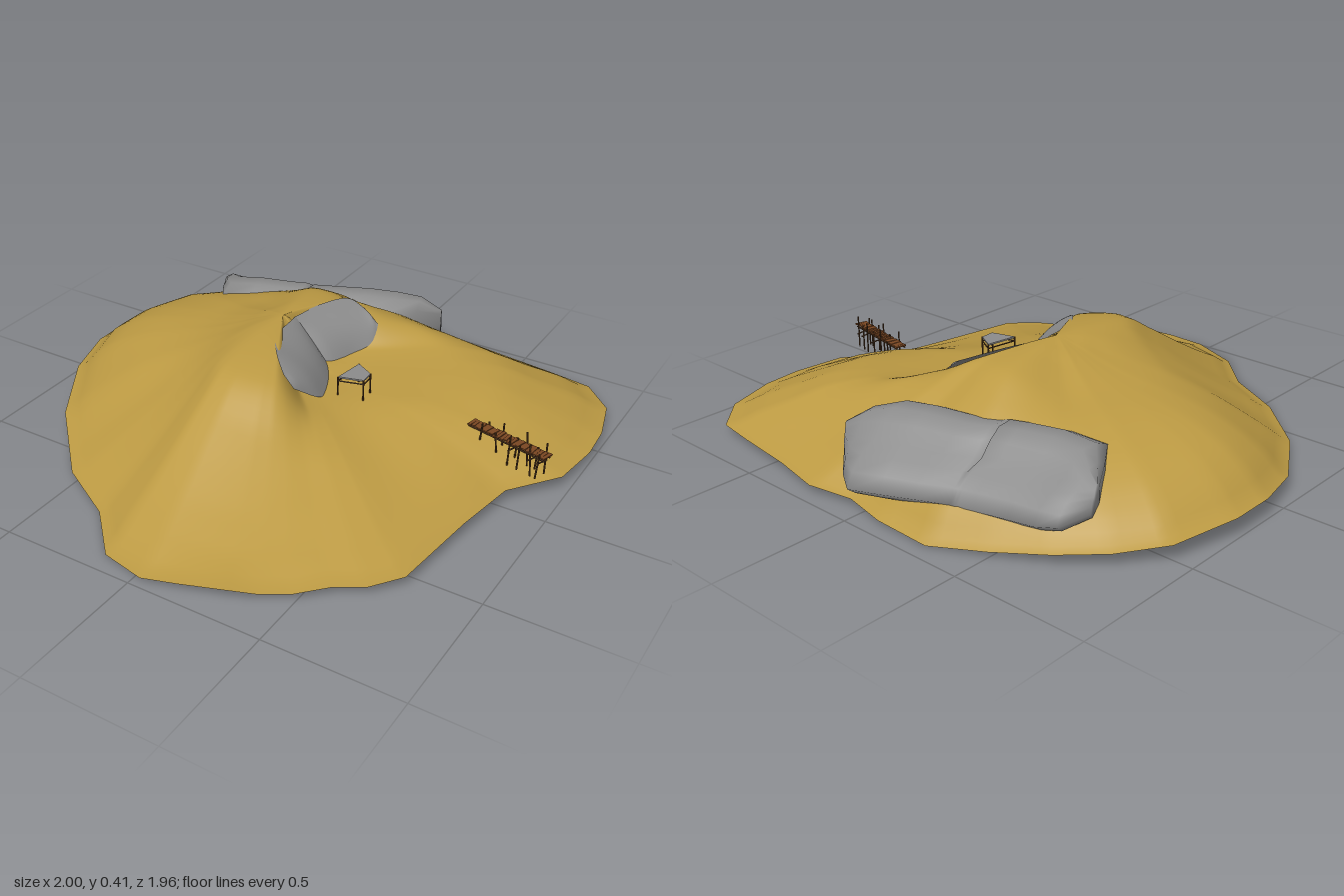
import * as THREE from 'three';

const V = (x, y, z) => new THREE.Vector3(x, y, z);
const mat = (name, color, side = THREE.FrontSide) => {
  const m = new THREE.MeshStandardMaterial({ color, side });
  m.name = name;
  return m;
};

// Shoreline as x, z, y
const SHORE = [
  [0.03, 0.975, 0.02], [-0.15, 0.925, 0.005], [-0.31, 0.76, 0.012], [-0.54, 0.63, 0.015], [-0.79, 0.37, 0.045],
  [-0.95, 0.1, 0.065], [-1, -0.1, 0.08], [-1, -0.27, 0.08], [-0.94, -0.52, 0.07], [-0.82, -0.66, 0.055],
  [-0.68, -0.77, 0.045], [-0.5, -0.86, 0.025], [-0.31, -0.94, 0.008], [-0.1, -0.945, 0.02], [0.06, -0.92, 0.03],
  [0.23, -0.955, 0.035], [0.42, -0.92, 0.04], [0.66, -0.89, 0.04], [0.82, -0.865, 0.04], [0.94, -0.74, 0.045],
  [0.99, -0.55, 0.055], [1, -0.4, 0.057], [0.975, -0.2, 0.06], [0.84, -0.02, 0.06], [0.8, 0.22, 0.058],
  [0.76, 0.56, 0.05], [0.68, 0.66, 0.045], [0.58, 0.72, 0.042], [0.49, 0.8, 0.032], [0.4, 0.86, 0.035],
  [0.3, 0.91, 0.045], [0.16, 0.95, 0.035],
];
const SUMMIT = V(-0.13, 0.42, -0.13);

// Hill heights by compass angle (degrees from +x towards +z) at these fractions of the way to shore
const STOPS = [0, 0.1, 0.2, 0.35, 0.5, 0.65, 0.8, 0.9, 1];
const HILL = [
  [0, [0.42, 0.28, 0.235, 0.228, 0.22, 0.19, 0.14, 0.1]],
  [30, [0.42, 0.28, 0.24, 0.23, 0.195, 0.15, 0.105, 0.08]],
  [44, [0.42, 0.3, 0.25, 0.245, 0.205, 0.15, 0.1, 0.07]],
  [62, [0.42, 0.412, 0.4, 0.36, 0.245, 0.16, 0.095, 0.06]],
  [95, [0.42, 0.418, 0.41, 0.385, 0.3, 0.205, 0.115, 0.06]],
  [120, [0.42, 0.413, 0.395, 0.345, 0.27, 0.19, 0.11, 0.06]],
  [150, [0.42, 0.402, 0.37, 0.325, 0.285, 0.235, 0.165, 0.11]],
  [180, [0.42, 0.395, 0.36, 0.318, 0.295, 0.265, 0.215, 0.155]],
  [215, [0.42, 0.4, 0.365, 0.32, 0.29, 0.25, 0.19, 0.13]],
  [265, [0.42, 0.418, 0.412, 0.395, 0.335, 0.25, 0.16, 0.1]],
  [288, [0.42, 0.417, 0.41, 0.39, 0.32, 0.24, 0.15, 0.09]],
  [308, [0.42, 0.31, 0.285, 0.325, 0.3, 0.235, 0.145, 0.09]],
  [322, [0.42, 0.29, 0.25, 0.25, 0.25, 0.22, 0.145, 0.095]],
  [338, [0.42, 0.28, 0.24, 0.235, 0.232, 0.215, 0.15, 0.1]],
  [360, [0.42, 0.28, 0.235, 0.228, 0.22, 0.19, 0.14, 0.1]],
];
const ANGLES = HILL.map(([deg]) => deg);

// Smooth curve through points that never overshoots them
function smoothCurve(xs, ys, x) {
  const last = xs.length - 2;
  let i = 0;
  while (i < last && x > xs[i + 1]) i++;
  const secant = (k) => (ys[k + 1] - ys[k]) / (xs[k + 1] - xs[k]);
  const slope = (k) => {
    if (k === 0 || k > last) return 0;
    const a = secant(k - 1), b = secant(k);
    return a * b > 0 ? (2 * a * b) / (a + b) : 0;
  };
  const w = xs[i + 1] - xs[i], s = (x - xs[i]) / w, s2 = s * s, s3 = s2 * s;
  return (2 * s3 - 3 * s2 + 1) * ys[i] + (s3 - 2 * s2 + s) * w * slope(i)
    + (3 * s2 - 2 * s3) * ys[i + 1] + (s3 - s2) * w * slope(i + 1);
}

const hillHeight = (deg, t, edgeY) =>
  smoothCurve(ANGLES, HILL.map(([, ys]) => smoothCurve(STOPS, [...ys, edgeY], t)), deg);

// Skin over rows of points; wrap joins the last point of each row to the first
function skin(rows, wrap) {
  const n = rows[0].length, idx = [];
  for (let i = 0; i + 1 < rows.length; i++)
    for (let j = 0; j < (wrap ? n : n - 1); j++) {
      const k = (j + 1) % n, a = i * n + j, b = i * n + k;
      idx.push(a, b, b + n, a, b + n, a + n);
    }
  const g = new THREE.BufferGeometry().setFromPoints(rows.flat());
  g.setIndex(idx);
  g.computeVertexNormals();
  return g;
}

function islandGeometry() {
  const SUB = 5, RINGS = 40, rim = [];
  SHORE.forEach((p, i) => {
    const q = SHORE[(i + 1) % SHORE.length];
    for (let s = 0; s < SUB; s++) rim.push(p.map((v, c) => v + ((q[c] - v) * s) / SUB));
  });
  const rows = [];
  for (let i = 0; i <= RINGS; i++) {
    const t = Math.max(i / RINGS, 0.001) ** 1.3;
    rows.push(rim.map(([x, z, y]) => {
      const dx = x - SUMMIT.x, dz = z - SUMMIT.z;
      const deg = (THREE.MathUtils.radToDeg(Math.atan2(dz, dx)) + 360) % 360;
      return V(SUMMIT.x + dx * t, hillHeight(deg, t, y), SUMMIT.z + dz * t);
    }));
  }
  return skin(rows, true);
}

// Bulging rock face between a top and a bottom edge
function cliffGeometry(top, bottom) {
  const a = new THREE.CatmullRomCurve3(top.map((p) => V(...p)));
  const b = new THREE.CatmullRomCurve3(bottom.map((p) => V(...p)));
  const rows = [];
  for (let i = 0; i <= 16; i++) {
    const u = i / 16, swell = Math.sqrt(Math.max(Math.sin(Math.PI * u), 0));
    const row = [];
    for (let j = 0; j <= 10; j++) {
      const bulge = Math.sin((Math.PI * j) / 10) * swell * 0.025;
      row.push(a.getPoint(u).lerp(b.getPoint(u), j / 10).add(V(bulge, bulge * 0.5, 0)));
    }
    rows.push(row);
  }
  return skin(rows, false);
}

// Long boulder: stations are front x, z, back x, z, height scale, crest dip
function boulderGeometry() {
  const stations = [
    [-0.71, -0.59, -0.72, -0.64, 0.45, 0], [-0.66, -0.5, -0.68, -0.75, 0.7, 0], [-0.6, -0.41, -0.61, -0.775, 0.88, 0],
    [-0.48, -0.43, -0.52, -0.785, 1, 0], [-0.36, -0.465, -0.4, -0.815, 1, 0], [-0.3, -0.49, -0.345, -0.83, 1, 0],
    [-0.288, -0.495, -0.333, -0.835, 0.98, 0.03], [-0.275, -0.5, -0.32, -0.84, 0.96, 0], [-0.2, -0.53, -0.21, -0.89, 0.96, 0],
    [-0.05, -0.57, -0.1, -0.935, 1.02, 0], [0.06, -0.6, 0, -0.98, 1, 0], [0.14, -0.7, 0.08, -0.93, 0.85, 0],
    [0.2, -0.8, 0.19, -0.83, 0.45, 0],
  ];
  const section = [[-0.02, 0.16], [0.02, 0.27], [0.18, 0.3], [0.36, 0.3], [0.5, 0.27], [0.64, 0.225],
    [0.8, 0.2], [0.93, 0.16], [1, 0.11], [0.9, 0.08], [0.5, 0.065], [0.08, 0.06]];
  const rows = stations.map(([fx, fz, bx, bz, h, dip]) => section.map(([w, y], k) =>
    V(fx + (bx - fx) * w, 0.17 + (y - 0.17) * h - (k > 2 && k < 6 ? dip : 0), fz + (bz - fz) * w)));
  const cap = (row) => {
    const c = row.reduce((s, p) => s.add(p), V(0, 0, 0)).divideScalar(row.length);
    return row.map(() => c.clone());
  };
  return skin([cap(rows[0]), ...rows, cap(rows.at(-1))], true);
}

export function createModel() {
  const root = new THREE.Group();
  const sand = mat('sand', 0xbc9a43, THREE.DoubleSide);
  const stone = mat('stone', 0x8c8c8c, THREE.DoubleSide);
  const plankWood = mat('plank wood', 0x7a4722);
  const darkWood = mat('dark wood', 0x52361e);

  const add = (parent, name, geo, material) => {
    const m = new THREE.Mesh(geo, material);
    m.name = name;
    parent.add(m);
    return m;
  };
  const pole = (parent, name, a, b, r = 0.0032) => {
    const d = b.clone().sub(a);
    const m = add(parent, name, new THREE.CylinderGeometry(r, r, d.length(), 6), darkWood);
    m.position.copy(a).add(b).multiplyScalar(0.5);
    m.quaternion.setFromUnitVectors(V(0, 1, 0), d.normalize());
  };

  add(root, 'island', islandGeometry(), sand);
  add(root, 'boulder', boulderGeometry(), stone);
  add(root, 'frontCliff', cliffGeometry(
    [[-0.1, 0.405, -0.176], [-0.075, 0.408, 0], [-0.01, 0.4, 0.1], [0.055, 0.37, 0.16]],
    [[0.05, 0.23, -0.176], [0.115, 0.225, -0.05], [0.135, 0.24, 0.04], [0.095, 0.32, 0.155]]), stone);
  add(root, 'backCliff', cliffGeometry(
    [[-0.1, 0.405, -0.164], [-0.065, 0.41, -0.3], [-0.01, 0.395, -0.42], [0.05, 0.365, -0.43]],
    [[0.05, 0.23, -0.164], [0.085, 0.235, -0.28], [0.125, 0.255, -0.36], [0.115, 0.32, -0.42]]), stone);

  // Small shelter: stone-grey sheet on four poles
  const shelter = new THREE.Group();
  shelter.name = 'shelter';
  root.add(shelter);
  const corners = [[0.19, -0.14], [0.26, -0.1], [0.262, -0.045], [0.172, -0.02]];
  const sheet = new THREE.Shape(corners.map(([x, z]) => new THREE.Vector2(x, -z)));
  const roof = add(shelter, 'shelterRoof', new THREE.ExtrudeGeometry(sheet, { depth: 0.006, bevelEnabled: false }), stone);
  roof.rotation.x = -Math.PI / 2;
  roof.position.y = 0.3;
  corners.forEach(([x, z], i) => {
    const [nx, nz] = corners[(i + 1) % 4];
    pole(shelter, 'shelterPole', V(x, 0.205, z), V(x, 0.305, z), 0.003);
    pole(shelter, 'shelterRail', V(x, 0.289, z), V(nx, 0.289, nz), 0.0025);
  });

  // Jetty: cross planks on beams and crooked posts
  const jetty = new THREE.Group();
  jetty.name = 'jetty';
  jetty.position.set(0.79, 0, -0.137);
  jetty.rotation.y = -0.215;
  root.add(jetty);
  for (let i = 0; i < 24; i++) {
    const plank = add(jetty, 'plank', new THREE.BoxGeometry(0.0125, 0.005, 0.044 + 0.004 * Math.sin(i * 5)), plankWood);
    plank.position.set(-0.156 + i * 0.0136, 0.19 + 0.0015 * Math.sin(i * 3), 0);
    plank.rotation.y = 0.1 * Math.sin(i * 7);
  }
  for (const side of [-1, 1]) {
    pole(jetty, 'beam', V(-0.16, 0.183, side * 0.017), V(0.16, 0.179, side * 0.017));
    [-0.1, -0.04, 0.02, 0.06, 0.105, 0.14].forEach((x, i) => {
      const lean = 0.008 * Math.sin(i * 4 + side);
      pole(jetty, 'post', V(x - lean, i < 2 ? 0.13 : 0.1, side * 0.023), V(x + lean, 0.212 + 0.015 * Math.sin(i * 3 + side), side * 0.023 + lean));
    });
  }
  [0.02, 0.105, 0.14].forEach((x) => pole(jetty, 'brace', V(x, 0.155, -0.03), V(x, 0.165, 0.03), 0.003));
  return root;
}
